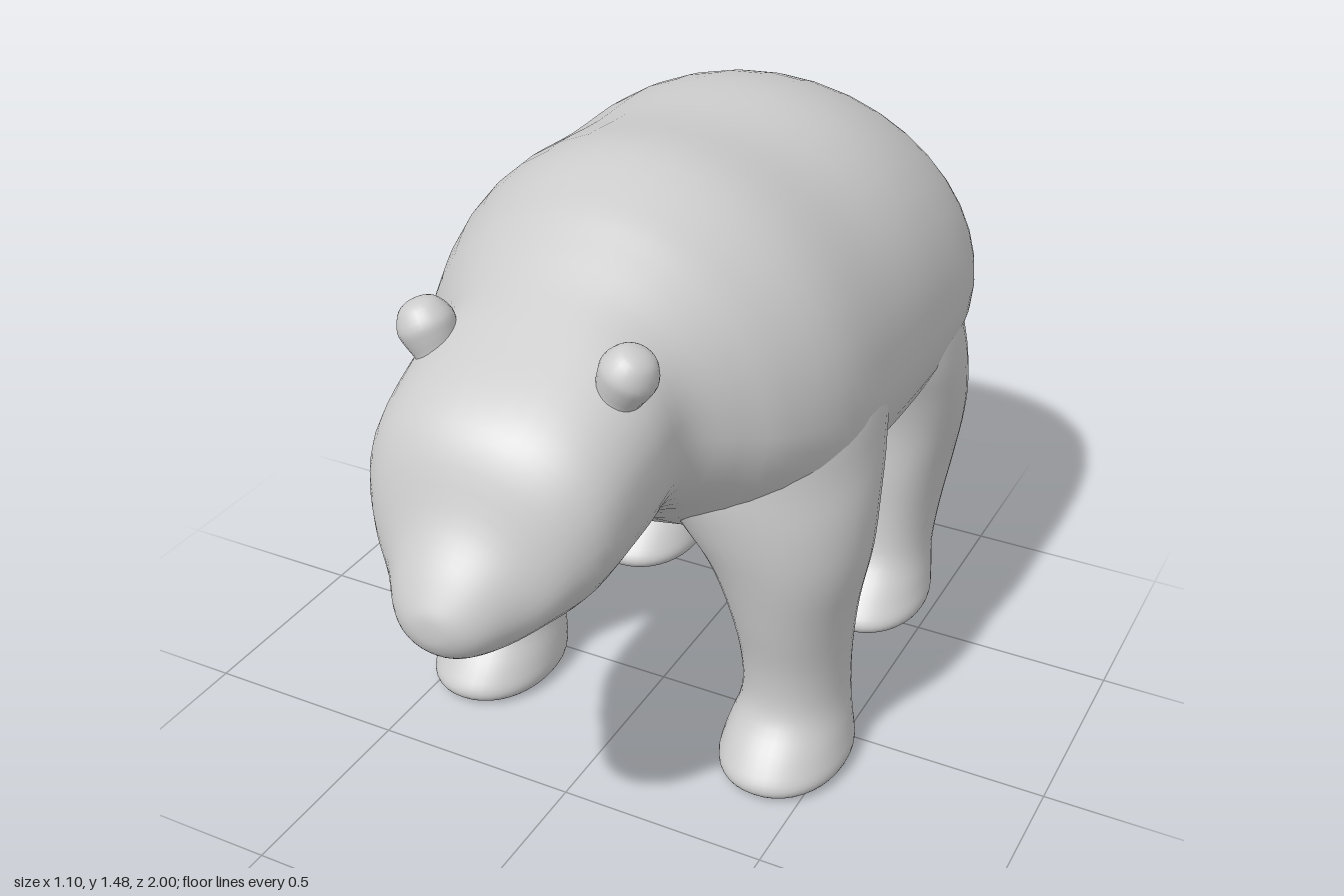
import * as THREE from 'three';

const SIDES = 40, STEPS = 4;
const material = new THREE.MeshStandardMaterial({ color: 0xcccccc, roughness: 0.9 });

// Smooth spline through rows of section numbers
function refine(rows) {
  const out = [];
  const at = i => rows[Math.min(Math.max(i, 0), rows.length - 1)];
  for (let i = 0; i < rows.length - 1; i++) {
    for (let s = 0; s < STEPS; s++) {
      const t = s / STEPS;
      out.push(rows[i].map((p, k) => {
        const q = rows[i + 1][k];
        const m0 = (q - at(i - 1)[k]) / 2, m1 = (at(i + 2)[k] - p) / 2;
        return p + m0 * t + (3 * (q - p) - 2 * m0 - m1) * t * t + (2 * (p - q) + m0 + m1) * t * t * t;
      }));
    }
  }
  out.push(rows[rows.length - 1]);
  return out;
}

// Closed skin over the sections; place(row, c, s) gives a point of a ring
function loft(rows, place, name) {
  const rings = refine(rows), pos = [], index = [];
  for (const row of rings) {
    for (let j = 0; j < SIDES; j++) {
      const a = (j / SIDES) * Math.PI * 2;
      pos.push(...place(row, Math.cos(a), Math.sin(a)));
    }
  }
  for (let i = 0; i < rings.length - 1; i++) {
    for (let j = 0; j < SIDES; j++) {
      const a = i * SIDES + j, b = i * SIDES + (j + 1) % SIDES;
      index.push(a, a + SIDES, b, b, a + SIDES, b + SIDES);
    }
  }
  // end caps
  const last = (rings.length - 1) * SIDES;
  for (const start of [0, last]) {
    const centre = [0, 1, 2].map(k => {
      let sum = 0;
      for (let j = 0; j < SIDES; j++) sum += pos[(start + j) * 3 + k];
      return sum / SIDES;
    });
    const pole = pos.length / 3;
    pos.push(...centre);
    for (let j = 0; j < SIDES; j++) {
      const a = start + j, b = start + (j + 1) % SIDES;
      if (start === 0) index.push(pole, a, b); else index.push(pole, b, a);
    }
  }
  const geometry = new THREE.BufferGeometry();
  geometry.setAttribute('position', new THREE.Float32BufferAttribute(pos, 3));
  geometry.setIndex(index);
  geometry.computeVertexNormals();
  const mesh = new THREE.Mesh(geometry, material);
  mesh.name = name;
  return mesh;
}

const power = (v, e) => Math.sign(v) * Math.pow(Math.abs(v), e);

// Torso, neck and head: z, top, bottom, height of widest point, half width, squareness
const BODY = [
  [1.0, 0.79, 0.77, 0.78, 0.012, 1],
  [0.996, 0.815, 0.745, 0.78, 0.045, 1],
  [0.98, 0.845, 0.717, 0.78, 0.08, 1],
  [0.95, 0.89, 0.695, 0.79, 0.115, 1],
  [0.89, 0.97, 0.68, 0.82, 0.165, 0.98],
  [0.83, 1.1, 0.688, 0.9, 0.235, 0.94],
  [0.75, 1.175, 0.703, 0.95, 0.285, 0.88],
  [0.6, 1.25, 0.738, 1.0, 0.303, 0.84],
  [0.48, 1.31, 0.762, 1.02, 0.31, 0.9],
  [0.38, 1.37, 0.735, 1.0, 0.38, 0.96],
  [0.28, 1.425, 0.66, 0.97, 0.45, 1],
  [0.1, 1.478, 0.55, 0.95, 0.515, 1],
  [-0.15, 1.462, 0.505, 0.93, 0.527, 0.97],
  [-0.4, 1.465, 0.49, 0.93, 0.53, 0.97],
  [-0.6, 1.42, 0.505, 0.92, 0.523, 1],
  [-0.77, 1.33, 0.525, 0.9, 0.485, 1],
  [-0.89, 1.185, 0.56, 0.88, 0.42, 1],
  [-0.96, 1.065, 0.61, 0.86, 0.34, 1],
  [-0.99, 0.985, 0.69, 0.85, 0.24, 1],
  [-1.0, 0.9, 0.79, 0.85, 0.09, 1],
];

// Legs: y, inner x, outer x, back z, front z, twist of the section
const FRONT_LEG = [
  [0.003, 0.29, 0.51, -0.03, 0.28, 0],
  [0.012, 0.26, 0.54, -0.06, 0.315, 0],
  [0.04, 0.248, 0.552, -0.07, 0.325, 0],
  [0.09, 0.255, 0.54, -0.072, 0.29, 0],
  [0.17, 0.272, 0.52, -0.077, 0.225, 0],
  [0.28, 0.265, 0.515, -0.09, 0.22, 0],
  [0.42, 0.235, 0.525, -0.115, 0.25, 0],
  [0.56, 0.18, 0.547, -0.145, 0.28, -0.03],
  [0.68, 0.1, 0.547, -0.18, 0.305, -0.1],
  [0.8, 0.04, 0.533, -0.23, 0.32, -0.2],
  [0.95, 0.04, 0.512, -0.24, 0.3, -0.25],
  [1.12, 0.1, 0.43, -0.15, 0.22, -0.25],
];
const BACK_LEG = [
  [0.003, 0.23, 0.44, -0.72, -0.42, 0],
  [0.012, 0.2, 0.475, -0.75, -0.39, 0],
  [0.04, 0.187, 0.485, -0.765, -0.383, 0],
  [0.09, 0.195, 0.475, -0.78, -0.425, 0],
  [0.17, 0.208, 0.462, -0.8, -0.495, 0.05],
  [0.28, 0.205, 0.468, -0.85, -0.518, 0.12],
  [0.42, 0.175, 0.49, -0.915, -0.518, 0.25],
  [0.55, 0.11, 0.515, -0.957, -0.51, 0.4],
  [0.67, 0.05, 0.53, -0.982, -0.48, 0.5],
  [0.8, 0.03, 0.528, -0.985, -0.43, 0.55],
  [0.93, 0.05, 0.5, -0.93, -0.41, 0.55],
  [1.08, 0.1, 0.4, -0.76, -0.45, 0.5],
];

function leg(rows, side, name) {
  return loft(rows, ([y, x0, x1, z0, z1, twist], c, s) => [
    side * (x0 + x1) / 2 + power(c, 0.94) * (x1 - x0) / 2,
    y,
    (z0 + z1) / 2 + (power(s, 0.94) * Math.sqrt(1 - twist * twist) + side * twist * c) * (z1 - z0) / 2,
  ], name);
}

// Round ear on a short thick root
const EAR = new THREE.SplineCurve([
  [0.06, -0.13], [0.05, -0.06], [0.058, -0.02], [0.062, 0.012], [0.045, 0.047], [0.022, 0.061], [0, 0.064],
].map(p => new THREE.Vector2(...p))).getPoints(20);

export function createModel() {
  const bear = new THREE.Group();
  bear.name = 'bear';

  bear.add(loft(BODY, ([z, top, bottom, mid, w, e], c, s) => [
    w * power(c, e),
    mid + (s > 0 ? (top - mid) * power(s, e) : (mid - bottom) * s),
    z,
  ], 'bodyAndHead'));

  for (const [side, label] of [[1, 'left'], [-1, 'right']]) {
    bear.add(leg(FRONT_LEG, side, label + 'FrontLeg'));
    bear.add(leg(BACK_LEG, side, label + 'BackLeg'));

    const ear = new THREE.Mesh(new THREE.LatheGeometry(EAR, 24), material);
    ear.name = label + 'Ear';
    ear.position.set(side * 0.232, 1.215, 0.6);
    ear.rotation.z = -side * 0.45;
    bear.add(ear);
  }
  return bear;
}
